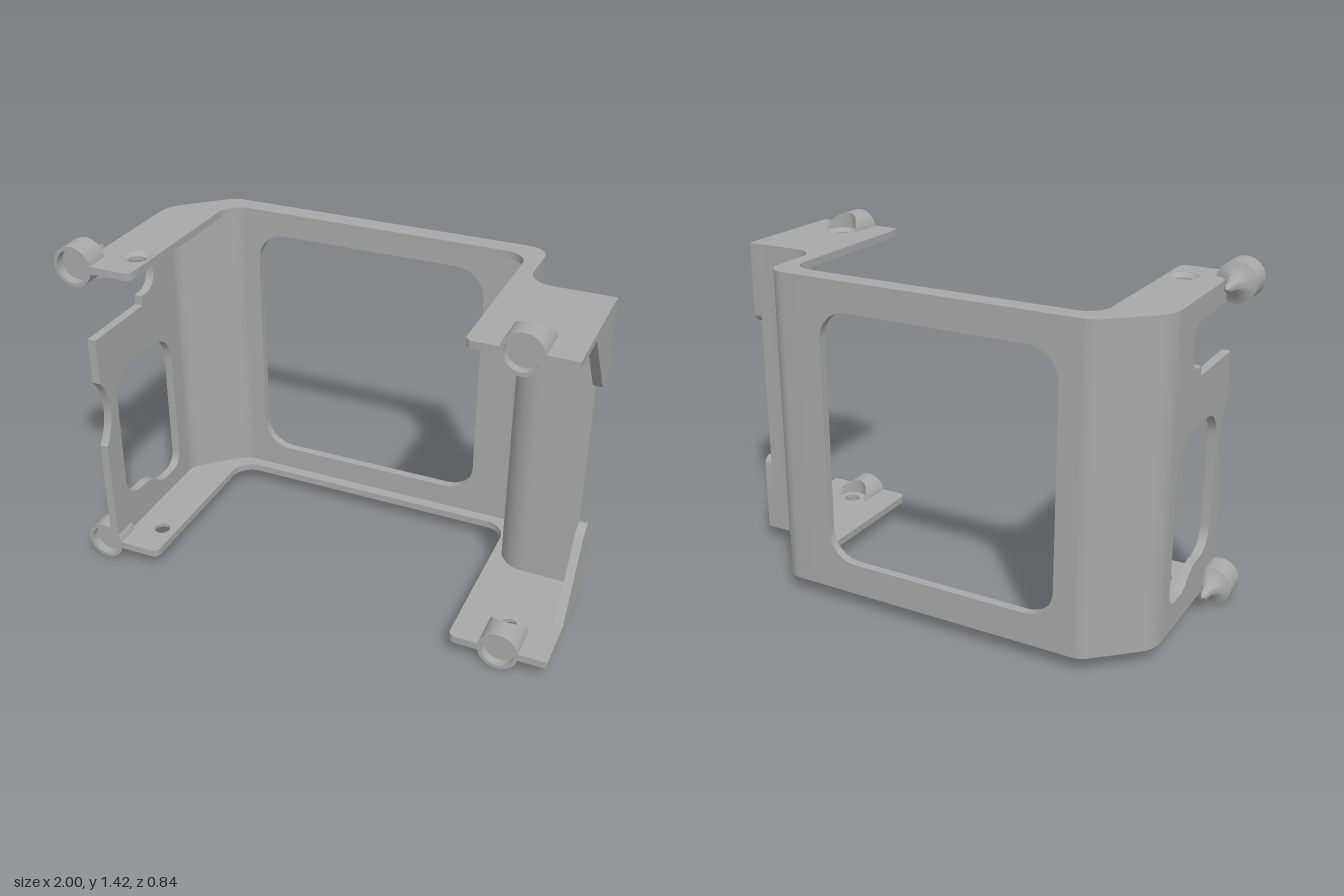
import * as THREE from 'three';
import { toCreasedNormals } from 'three/addons/utils/BufferGeometryUtils.js';

const MID = 0.715, LOW = 0.07, HIGH = 1.36, T = 0.03; // mirror height, outer faces, plate thickness
const BOSS_Y = 0.63;                                  // boss axis distance from mirror height

// Closed path through [x, y, cornerRadius] points; corners become fillets.
function rounded(path, pts) {
  const n = pts.length, v = pts.map(p => new THREE.Vector2(p[0], p[1]));
  const toward = (a, b, d) => a.clone().add(b.clone().sub(a).setLength(d));
  pts.forEach((p, i) => {
    const c = v[i], r = p[2] || 0;
    if (!r) return i ? path.lineTo(c.x, c.y) : path.moveTo(c.x, c.y);
    const prev = v[(i + n - 1) % n], next = v[(i + 1) % n], k = 0.4477 * r;
    const a = toward(c, prev, r), b = toward(c, next, r);
    const ca = toward(c, prev, k), cb = toward(c, next, k);
    if (i) path.lineTo(a.x, a.y); else path.moveTo(a.x, a.y);
    path.bezierCurveTo(ca.x, ca.y, cb.x, cb.y, b.x, b.y);
  });
  path.closePath();
  return path;
}
const outline = pts => rounded(new THREE.Shape(), pts);
const opening = pts => rounded(new THREE.Path(), pts);
const extrude = (shape, depth) =>
  new THREE.ExtrudeGeometry(shape, { depth, bevelEnabled: false, curveSegments: 10 });

export function createModel() {
  const model = new THREE.Group();
  model.name = 'mountingBracket';
  const grey = new THREE.MeshStandardMaterial({ color: 0xa8a8a8 });
  grey.name = 'grey';
  const add = (name, geometry, x = 0, y = 0, z = 0) => {
    const mesh = new THREE.Mesh(toCreasedNormals(geometry, 0.6), grey);
    mesh.name = name;
    mesh.position.set(x, y, z);
    model.add(mesh);
    return mesh;
  };
  // Extrusions of plans (x, z) downward, and of side profiles (z, y) toward -x.
  const plan = (shape, h) => extrude(shape, h).rotateX(Math.PI / 2);
  const side = (shape, w) => extrude(shape, w).rotateY(-Math.PI / 2);

  // U-shaped end plates with screw holes
  const holes = [[-0.735, 0.265], [0.805, 0.27]];
  const plate = outline([
    [-0.89, 0.385], [-0.89, -0.22, 0.05], [-0.675, -0.42, 0.03], [0.67, -0.42, 0.08],
    [0.67, -0.1, 0.09], [1, -0.1], [1, 0.42], [0.873, 0.42], [0.873, 0.385],
    [0.743, 0.385], [0.743, 0.42], [0.61, 0.42, 0.03], [0.61, -0.34, 0.09],
    [-0.67, -0.34, 0.09], [-0.67, 0.42, 0.03], [-0.855, 0.42], [-0.855, 0.385],
  ]);
  for (const [x, z] of holes) plate.holes.push(new THREE.Path().absarc(x, z, 0.058, 0, Math.PI * 2));
  add('topPlate', plan(plate, T), 0, HIGH);
  add('bottomPlate', plan(plate, T), 0, LOW + T);

  // Countersunk rings in the screw holes, wide side outward
  const sink = [[0.06, 0], [0.033, 0], [0.033, 0.015], [0.06, T]];
  for (const [x, z] of holes) for (const s of [1, -1]) {
    const ring = new THREE.LatheGeometry(
      sink.map(p => new THREE.Vector2(...p)).reverse(), 28);
    // The profile runs inward and down so its faces point up, inward and down.
    const index = ring.index.array;
    const pos = ring.attributes.position;
    const a = new THREE.Vector3(), b = new THREE.Vector3(), c = new THREE.Vector3();
    a.fromBufferAttribute(pos, index[0]);
    b.fromBufferAttribute(pos, index[1]);
    c.fromBufferAttribute(pos, index[2]);
    if (b.sub(a).cross(c.sub(a)).y < 0)
      for (let i = 0; i < index.length; i += 3) [index[i], index[i + 1]] = [index[i + 1], index[i]];
    if (s < 0) ring.rotateX(Math.PI);
    add('screwSeat', ring, x, s > 0 ? HIGH - T : LOW + T, z);
  }

  // Back wall with its large window
  const back = outline([[-0.6, 0.09], [0.5, 0.09], [0.5, 1.34], [-0.6, 1.34]]);
  back.holes.push(opening([[-0.56, 0.2, 0.12], [0.43, 0.2, 0.12], [0.43, 1.24, 0.12], [-0.56, 1.24, 0.12]]));
  add('backWall', extrude(back, 0.035), 0, 0, -0.42);

  // Slanted wall, and the stepped wall running out to the other flange
  add('slantedWall', plan(outline([
    [-0.89, -0.15], [-0.89, -0.22, 0.05], [-0.675, -0.42, 0.03], [-0.6, -0.42],
    [-0.6, -0.385], [-0.66, -0.385, 0.03], [-0.855, -0.205, 0.03], [-0.855, -0.15],
  ]), 1.25), 0, 1.34);
  add('steppedWall', plan(outline([
    [0.5, -0.42], [0.67, -0.42, 0.08], [0.67, -0.1, 0.09], [0.965, -0.1],
    [0.965, -0.07], [0.64, -0.07, 0.12], [0.64, -0.385, 0.05], [0.5, -0.385],
  ]), 1.25), 0, 1.34);

  // Side wall with window, slot and scalloped front edge
  const wall = outline([
    [-0.15, 0.09], [0.375, 0.09], [0.375, 0.13], [0.42, 0.13], [0.42, 0.57],
    [0.3, 0.715, 0.187], [0.42, 0.86], [0.42, 1.05], [0.08, 1.05], [0.08, 1.09],
    [-0.02, 1.09, 0.07], [-0.02, 1.27, 0.07], [0.33, 1.27], [0.33, 1.34], [-0.15, 1.34],
  ]);
  wall.holes.push(opening([
    [0.32, 0.85, 0.12], [0.32, 0.25, 0.1], [0.13, 0.25, 0.05],
    [0.06, 0.18, 0.04], [-0.1, 0.18, 0.06], [-0.1, 0.85, 0.13],
  ]));
  add('sideWall', side(wall, 0.035), -0.855);

  // Cupped bosses: shared front, with a flared or a bored rear end
  const cup = [[0.08, 0.42], [0.065, 0.42], [0.065, 0.385], [0, 0.385]];
  const flare = [[0, 0.2], [0.015, 0.22], [0.022, 0.26], [0.036, 0.29], [0.055, 0.308], [0.08, 0.317]];
  const flat = Array.from({ length: 9 }, (_, i) => [i * 0.01, 0.27]);
  const boss = rear => new THREE.LatheGeometry(
    [...rear, ...cup].map(p => new THREE.Vector2(...p)), 40).rotateX(Math.PI / 2);
  const bored = boss(flat), p = bored.attributes.position;
  for (let i = 0; i < p.count; i++) {
    if (p.getZ(i) > 0.28) continue;
    const x = p.getX(i), y = p.getY(i);
    const bore = Math.sqrt(Math.max(0, 0.065 ** 2 - x * x));
    p.setZ(i, 0.27 + Math.max(bore, 0.05 * (y / 0.08) ** 2));
  }

  for (const s of [1, -1]) {
    add('flaredBoss', boss(flare), -0.92, MID + s * BOSS_Y);
    add('boredBoss', bored, 0.808, MID + s * BOSS_Y);

    // Triangular gusset between plate and flange
    add('gusset', side(outline([
      [-0.1, 0.63], [0.2, 0.63], [0.2, 0.615], [-0.035, 0.3, 0.05], [-0.1, 0.315, 0.03],
    ].map(([z, y, r]) => [z, MID + s * y, r])), 0.035), 1);
  }
  return model;
}
